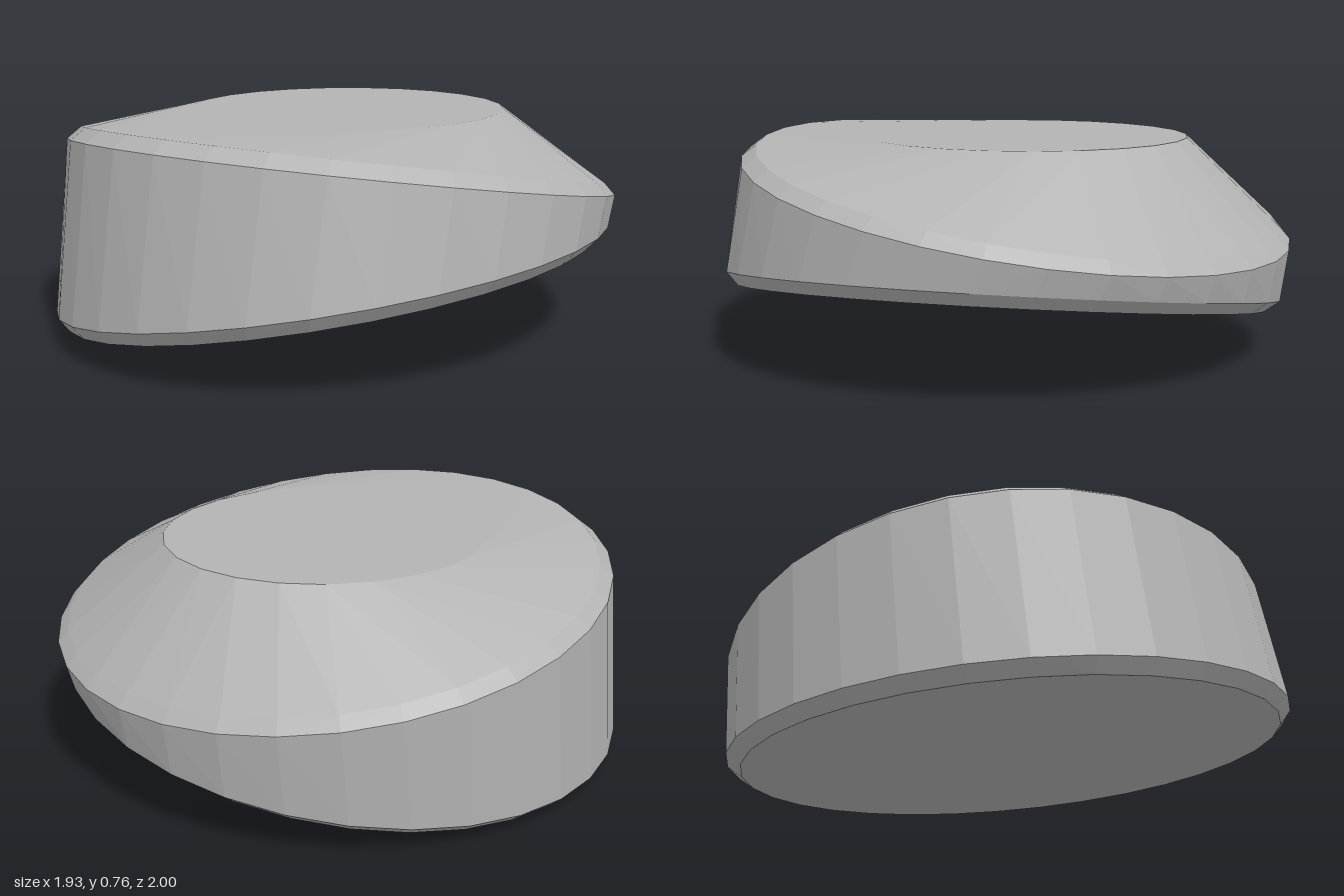
import * as THREE from 'three';
import { ConvexGeometry } from 'three/addons/geometries/ConvexGeometry.js';

// Tilted elliptical ring: centre height and depth, radii, slope of y along x and z
function ring(count, y, z, rx, rz, slopeX, slopeZ) {
  return Array.from({ length: count }, (_, i) => {
    const a = (i / count) * Math.PI * 2;
    const dx = Math.sin(a) * rx;
    const dz = -Math.cos(a) * rz;
    return new THREE.Vector3(dx, y + slopeX * dx + slopeZ * dz, z + dz);
  });
}

export function createModel() {
  const group = new THREE.Group();
  group.name = 'keycap';

  const grey = new THREE.MeshStandardMaterial({ color: 0xb3b3b3 });
  grey.name = 'grey';

  const points = [
    ...ring(32, 0.17, 0.02, 0.92, 0.94, 0.181, -0.04),     // underside edge
    ...ring(32, 0.215, 0.01, 0.965, 0.985, 0.178, -0.035), // lower rim
    ...ring(32, 0.555, -0.0475, 0.965, 0.9525, 0, 0.173),  // upper rim
    ...ring(32, 0.595, -0.057, 0.925, 0.907, 0, 0.181),    // upper bevel
    ...ring(24, 0.76, -0.08, 0.55, 0.567, 0, 0),           // level top
  ];

  // Faceted solid wrapped around the rings
  const body = new THREE.Mesh(new ConvexGeometry(points), grey);
  body.name = 'body';
  group.add(body);
  group.name = 'bevelledStone';
  return group;
}
